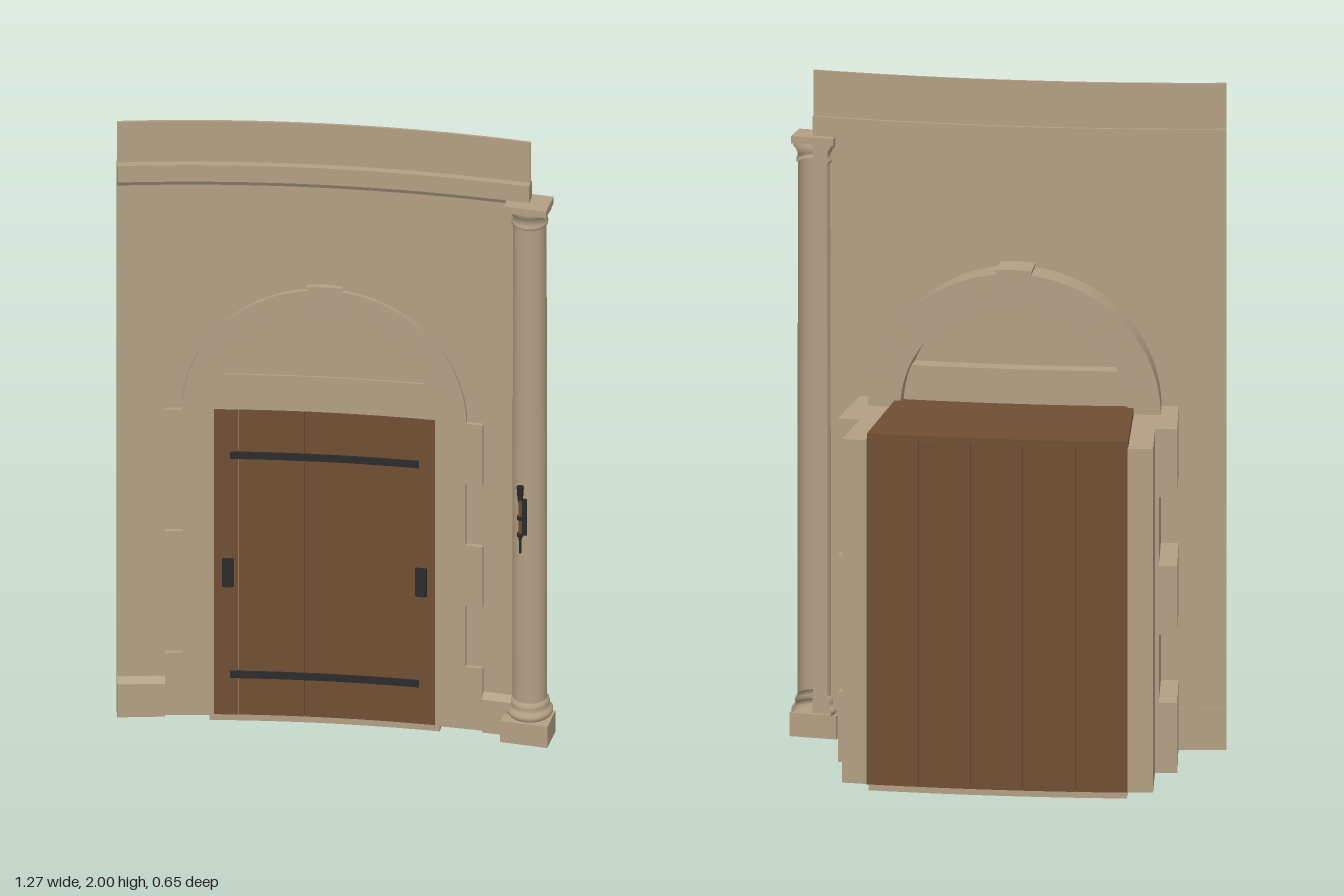
import * as THREE from 'three';

const R = 4, FRONT = 4.19, CX = -0.038;
const mat = (name, color, side = THREE.FrontSide) => {
  const m = new THREE.MeshStandardMaterial({ color, side });
  m.name = name;
  return m;
};

// Wraps a geometry round the tower axis: x becomes arc length, z becomes depth.
function bend(geo) {
  const p = geo.attributes.position;
  for (let i = 0; i < p.count; i++) {
    const a = p.getX(i) / R, r = FRONT - p.getZ(i);
    p.setXYZ(i, CX + r * Math.sin(a), p.getY(i), FRONT - r * Math.cos(a));
  }
  geo.computeVertexNormals();
  return geo;
}

export function createModel() {
  const stone = mat('stone', 0xb3a084);
  const stoneOpen = mat('columnStone', 0xb3a084, THREE.DoubleSide);
  const wood = mat('wood', 0x704f33);
  const iron = mat('iron', 0x2b2b2d);
  const model = new THREE.Group();
  model.name = 'curvedDoorway';

  const group = (name, parent = model) => {
    const g = new THREE.Group();
    g.name = name;
    parent.add(g);
    return g;
  };
  const add = (name, geo, material, parent = model) => {
    const m = new THREE.Mesh(geo, material);
    m.name = name;
    parent.add(m);
    return m;
  };
  // Curved block; topCut and bottomCut pull the front edge back as a chamfer.
  const block = (name, material, [x0, x1], [y0, y1], [z0, z1], parent = model, topCut = 0, bottomCut = 0) => {
    const n = Math.max(1, Math.round((x1 - x0) / 0.05));
    const g = new THREE.BoxGeometry(x1 - x0, y1 - y0, z1 - z0, n, 1, 1);
    const p = g.attributes.position;
    for (let i = 0; i < p.count; i++) {
      if (p.getZ(i) > 0) p.setZ(i, p.getZ(i) - (p.getY(i) > 0 ? topCut : bottomCut));
    }
    g.translate((x0 + x1) / 2, (y0 + y1) / 2, (z0 + z1) / 2);
    return add(name, bend(g), material, parent);
  };

  // Curved wall, parapet and cornice
  const W = 0.598;
  block('wall', stone, [-W, W], [0.02, 1.8], [0.162, 0.178]);
  block('parapet', stone, [-W, W], [1.86, 2], [0.169, 0.176]);
  block('cornice', stone, [-W, W], [1.81, 1.865], [0.16, 0.197]);
  block('corniceUnderside', stone, [-W, W], [1.79, 1.81], [0.162, 0.192], model, 0, 0.012);

  // Wall plinths with chamfered tops
  for (const [x0, x1] of [[-W, -0.46], [0.46, W]]) {
    block('plinth', stone, [x0, x1], [0.02, 0.13], [0.16, 0.2]);
    block('plinthCap', stone, [x0, x1], [0.13, 0.145], [0.16, 0.2], model, 0.018);
  }

  // Floor slab and lintel
  block('floor', stone, [-0.333, 0.333], [0, 0.02], [-0.318, 0.185]);
  block('lintel', stone, [-0.32, 0.32], [1.04, 1.157], [0.11, 0.183]);

  // Jambs: long and short quoins in front, plain courses behind
  const courses = [0.02, 0.228, 0.432, 0.635, 0.84, 1.042];
  const rear = [0.02, 0.28, 0.535, 0.79, 1.042];
  for (const s of [-1, 1]) {
    const jamb = group(s > 0 ? 'leftJamb' : 'rightJamb');
    const span = (a, b) => (s > 0 ? [a, b] : [-b, -a]);
    for (let i = 0; i < 5; i++) {
      block('quoin', stone, span(0.32, i % 2 ? 0.41 : 0.46), [courses[i], courses[i + 1]], [-0.1, 0.19], jamb);
    }
    for (let i = 0; i < 4; i++) {
      block('rearBlock', stone, span(0.334, 0.4), [rear[i], rear[i + 1]], [-0.324, -0.1], jamb);
    }
  }

  // Round arch of thirteen voussoirs, the middle one a taller keystone
  const arch = group('arch');
  const N = 13;
  for (let i = 0; i < N; i++) {
    const key = i === 6, e = key ? 0.003 : 0;
    const a0 = (i / N) * Math.PI, a1 = ((i + 1) / N) * Math.PI;
    const shape = new THREE.Shape();
    shape.absarc(0, 0, key ? 0.425 : 0.412, a0, a1, false);
    shape.absarc(0, 0, 0.32, a1, a0, true);
    const g = new THREE.ExtrudeGeometry(shape, { depth: 0.128 + 2 * e, bevelEnabled: false, curveSegments: 3 });
    g.translate(0, 1.04, 0.062 - e);
    add(key ? 'keystone' : 'voussoir', bend(g), stone, arch);
  }

  // Front door planks
  const door = group('door');
  const cuts = [-0.32, -0.25, -0.06, 0.13, 0.32];
  for (let i = 0; i < 4; i++) {
    block('plank', wood, [cuts[i] + (i ? 0.001 : 0), cuts[i + 1]], [0.02, 1.04], [0.165, 0.186], door);
  }
  // Iron straps and handles
  for (const y of [0.156, 0.89]) {
    block('strap', iron, [-0.273, 0.273], [y - 0.011, y + 0.011], [0.18, 0.192], door);
  }
  for (const x of [-0.279, 0.279]) {
    block('handlePlate', iron, [x - 0.017, x + 0.017], [0.45, 0.543], [0.18, 0.191], door);
    block('handleGrip', iron, [x - 0.012, x + 0.012], [0.453, 0.478], [0.19, 0.2], door);
  }

  // Wooden back and roof of the passage
  const back = group('passageBack');
  for (let i = 0; i < 5; i++) {
    const w = 0.672 / 5, x = -0.336 + i * w;
    block('backPlank', wood, [x + 0.0007, x + w - 0.0007], [0.02, 1.05], [-0.328, -0.308], back);
  }
  block('passageRoof', wood, [-0.336, 0.336], [1.042, 1.062], [-0.322, 0.08]);

  // Column with an open back, turned to face the tower axis
  const column = group('column');
  column.position.set(0.557, 0, 0.213);
  column.rotation.y = -0.149;
  const box = (name, material, w, h, d, x, y, z, parent) =>
    add(name, new THREE.BoxGeometry(w, h, d).translate(x, y, z), material, parent);
  box('columnBase', stone, 0.14, 0.07, 0.095, 0, 0.055, 0.025, column);
  box('abacus', stone, 0.126, 0.022, 0.088, 0, 1.796, 0.015, column);
  const lathe = (name, pts) => add(name, new THREE.LatheGeometry(
    pts.map(([r, y]) => new THREE.Vector2(r, y)), 20, -Math.PI * 2 / 3, Math.PI * 4 / 3), stoneOpen, column);
  lathe('columnFoot', [[0.062, 0.09], [0.067, 0.098], [0.067, 0.106], [0.061, 0.114],
    [0.055, 0.12], [0.058, 0.128], [0.056, 0.137], [0.05, 0.146]]);
  lathe('shaft', [[0.05, 0.146], [0.05, 0.9], [0.048, 1.728]]);
  lathe('capital', [[0.048, 1.728], [0.053, 1.732], [0.053, 1.74], [0.049, 1.745],
    [0.05, 1.757], [0.055, 1.77], [0.062, 1.778], [0.062, 1.786]]);

  // Torch on its wall bracket
  const torch = group('torch', column);
  const rod = (name, material, r0, r1, y0, y1) => add(name,
    new THREE.CylinderGeometry(r1, r0, y1 - y0, 8).translate(0, (y0 + y1) / 2, 0.102), material, torch);
  rod('torchTip', iron, 0.003, 0.005, 0.68, 0.74);
  rod('torchShaft', wood, 0.005, 0.006, 0.74, 0.862);
  rod('torchHead', iron, 0.008, 0.011, 0.858, 0.902);
  for (const y of [0.742, 0.798]) rod('torchRing', iron, 0.01, 0.01, y - 0.005, y + 0.005);
  box('bracketPlate', iron, 0.014, 0.12, 0.01, 0, 0.772, 0.052, torch);
  box('bracketArm', iron, 0.006, 0.006, 0.055, 0, 0.798, 0.078, torch);
  const brace = box('bracketBrace', iron, 0.006, 0.006, 0.058, 0, 0, 0, torch);
  brace.position.set(0, 0.732, 0.078);
  brace.rotation.x = -0.35;
  torch.position.x = -0.003;

  return model;
}
